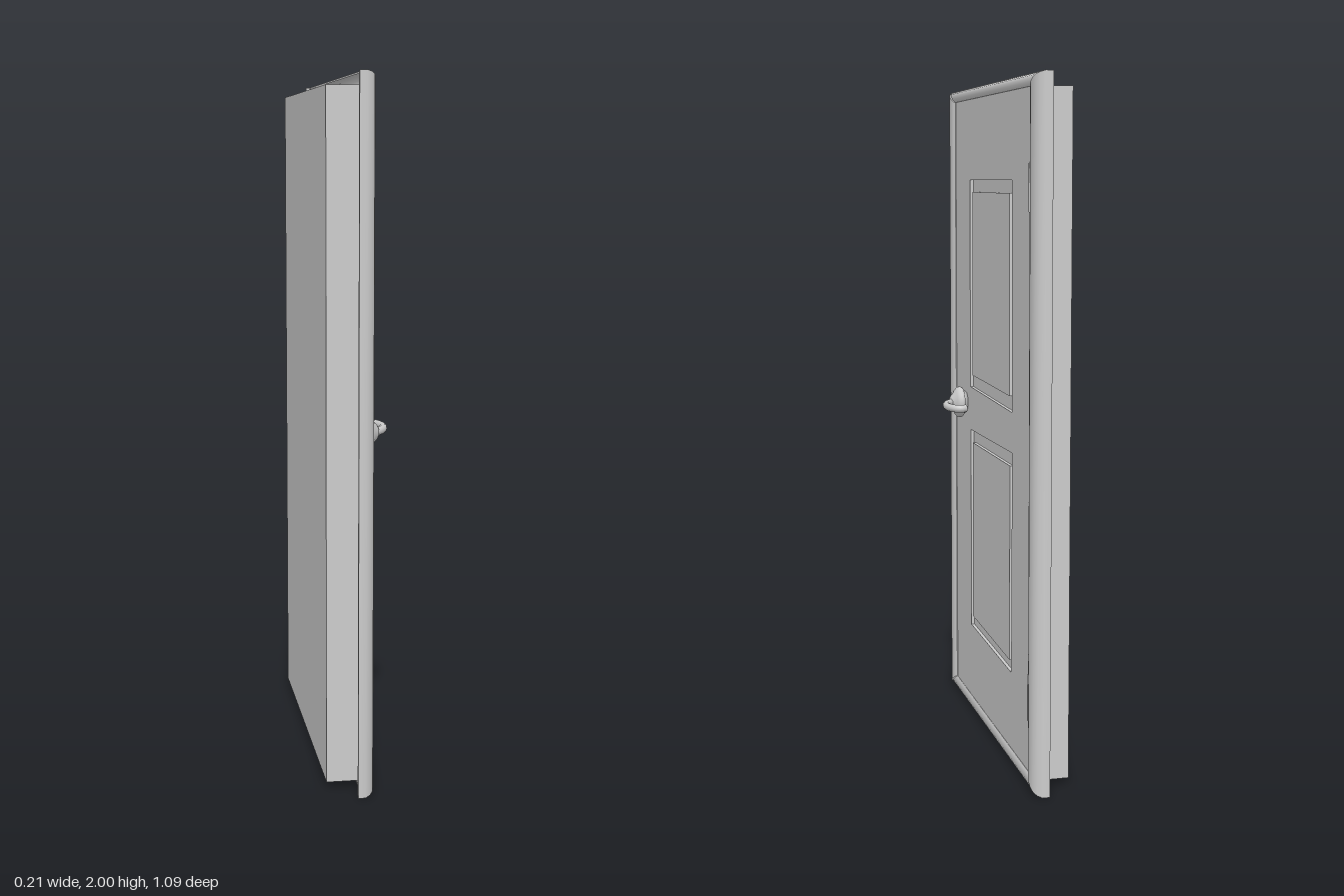
import * as THREE from 'three';
import { toCreasedNormals } from 'three/addons/utils/BufferGeometryUtils.js';

const FACE = 0.01;    // front face of the door leaf
const GROOVE = 0.0;   // floor of the panel grooves

const material = new THREE.MeshStandardMaterial({ color: 0xcccccc });
const shellMaterial = new THREE.MeshStandardMaterial({ color: 0xcccccc, side: THREE.DoubleSide });

function add(parent, name, geometry, x = 0, y = 0, z = 0, mat = material) {
  const mesh = new THREE.Mesh(geometry, mat);
  mesh.name = name;
  mesh.position.set(x, y, z);
  parent.add(mesh);
  return mesh;
}

const points = (corners) => corners.map(([x, y]) => new THREE.Vector2(x, y));

const slab = (shape) => new THREE.ExtrudeGeometry(shape, { depth: FACE - GROOVE, bevelEnabled: false });

// One mitred moulding between two corners; profile rows are [inner-to-outer share, depth]
function moulding(innerA, innerB, outerA, outerB, profile) {
  const position = [], index = [];
  profile.forEach(([t, z], j) => {
    for (const [a, b] of [[innerA, outerA], [innerB, outerB]]) {
      position.push(a[0] + (b[0] - a[0]) * t, a[1] + (b[1] - a[1]) * t, z);
    }
    if (j > 0) {
      const k = 2 * (j - 1);
      index.push(k, k + 2, k + 3, k, k + 3, k + 1);
    }
  });
  const geometry = new THREE.BufferGeometry();
  geometry.setAttribute('position', new THREE.Float32BufferAttribute(position, 3));
  geometry.setIndex(index);
  return toCreasedNormals(geometry, 0.6);
}

export function createModel() {
  const model = new THREE.Group();
  model.name = 'door';

  // Everything is laid out facing +z, then turned to face +x
  const door = new THREE.Group();
  door.name = 'doorAssembly';
  door.rotation.y = Math.PI / 2;
  model.add(door);

  // Thick body behind the face
  add(door, 'doorBody', new THREE.BoxGeometry(0.926, 1.945, 0.105 + GROOVE), 0, 0.9925, (GROOVE - 0.105) / 2);

  // Face with two grooved, slightly hand-cut panels
  const face = new THREE.Shape(points([[-0.463, 0.03], [0.463, 0.03], [0.463, 1.965], [-0.463, 1.965]]));
  const panels = [
    {
      name: 'upperPanel',
      outer: [[-0.268, 1.063], [0.26, 1.053], [0.256, 1.715], [-0.263, 1.715]],
      inner: [[-0.238, 1.103], [0.23, 1.097], [0.226, 1.678], [-0.233, 1.678]],
    },
    {
      name: 'lowerPanel',
      outer: [[-0.256, 0.283], [0.253, 0.277], [0.26, 0.935], [-0.26, 0.925]],
      inner: [[-0.235, 0.317], [0.232, 0.309], [0.237, 0.893], [-0.235, 0.887]],
    },
  ];
  for (const { name, outer, inner } of panels) {
    face.holes.push(new THREE.Path(points(outer)));
    add(door, name, slab(new THREE.Shape(points(inner))), 0, 0, GROOVE);
  }
  add(door, 'doorFace', slab(face), 0, 0, GROOVE);

  // Mitred surround: wide on the sides, narrow at head and sill
  const inner = [[-0.463, 0.045], [0.463, 0.045], [0.463, 1.963], [-0.463, 1.963]];
  const outer = [[-0.545, 0], [0.545, 0], [0.545, 2], [-0.545, 2]];
  const sideProfile = [[0, -0.027], [0, 0.012], [0.08, 0.017], [0.3, 0.021], [0.55, 0.021],
    [0.75, 0.017], [0.9, 0.008], [1, -0.006], [1, -0.027], [0.88, -0.027]];
  const endProfile = [[0, 0], [0, 0.011], [0.1, 0.014], [0.3, 0.016], [0.55, 0.016],
    [0.75, 0.013], [0.9, 0.005], [1, -0.004], [1, -0.014], [0.85, -0.014]];
  ['sillMoulding', 'hingeSideMoulding', 'headMoulding', 'handleSideMoulding'].forEach((name, i) => {
    const n = (i + 1) % 4;
    const geometry = moulding(inner[i], inner[n], outer[i], outer[n], i % 2 ? sideProfile : endProfile);
    add(door, name, geometry, 0, 0, 0, shellMaterial);
  });

  // Hinges
  for (const y of [0.27, 1.695]) {
    const hinge = new THREE.Group();
    hinge.name = 'hinge';
    hinge.position.set(0.47, y, 0.011);
    add(hinge, 'hingeBarrel', new THREE.CylinderGeometry(0.009, 0.009, 0.13, 16));
    for (const s of [-1, 1]) {
      add(hinge, 'hingeCap', new THREE.SphereGeometry(0.009, 16, 8), 0, s * 0.065, 0).scale.y = 0.6;
    }
    door.add(hinge);
  }

  // Handle: domed rose and a curved lever
  const handle = new THREE.Group();
  handle.name = 'handle';
  handle.position.set(-0.335, 1.005, 0);
  const rose = new THREE.LatheGeometry(points([[0, 0.008], [0.036, 0.008], [0.036, 0.018], [0.046, 0.021],
    [0.05, 0.029], [0.048, 0.037], [0.04, 0.045], [0.028, 0.051], [0.022, 0.058], [0.012, 0.063], [0, 0.064]]), 32);
  add(handle, 'handleRose', rose).rotation.x = Math.PI / 2;
  const path = new THREE.CatmullRomCurve3([[0, 0.05], [0.018, 0.068], [0.05, 0.084], [0.09, 0.09],
    [0.125, 0.086], [0.15, 0.074], [0.157, 0.06], [0.151, 0.045]].map(([x, z]) => new THREE.Vector3(x, 0, z)));
  add(handle, 'handleLever', new THREE.TubeGeometry(path, 40, 0.012, 12));
  const tip = add(handle, 'handleLeverTip', new THREE.CircleGeometry(0.012, 12), 0.151, 0, 0.045, shellMaterial);
  tip.lookAt(tip.position.clone().add(path.getTangent(1)));
  door.add(handle);

  return model;
}
